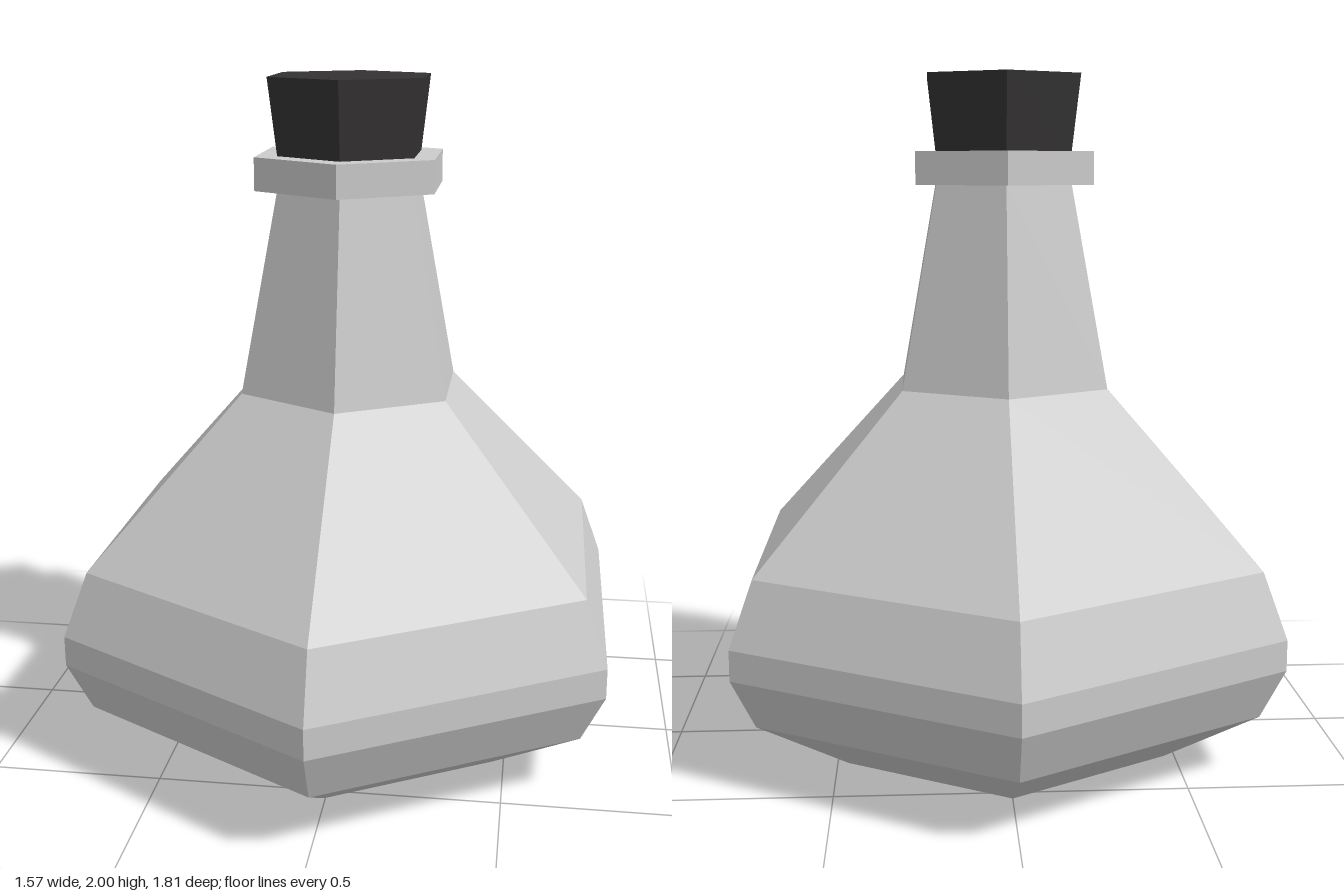
import * as THREE from 'three';

const SIDES = 6;

// Six-sided turned part, with a corner facing the front; profile runs bottom to top as [radius, y]
function turned(name, profile, material) {
  const points = profile.map(([r, y]) => new THREE.Vector2(r, y));
  const mesh = new THREE.Mesh(new THREE.LatheGeometry(points, SIDES), material);
  mesh.name = name;
  return mesh;
}

export function createModel() {
  const glass = new THREE.MeshStandardMaterial({ color: 0xcccccc, flatShading: true });
  const cork = new THREE.MeshStandardMaterial({ color: 0x343233, flatShading: true });

  const group = new THREE.Group();
  group.name = 'stopperedFlask';

  // Flat base, faceted belly, sloping shoulder and tapering neck
  group.add(turned('flaskBody', [
    [0, 0], [0.54, 0], [0.83, 0.175], [0.905, 0.325], [0.905, 0.415],
    [0.83, 0.605], [0.345, 1.095], [0.225, 1.69],
  ], glass));

  // Lip around the mouth
  group.add(turned('collar', [
    [0, 1.685], [0.295, 1.685], [0.295, 1.78], [0, 1.78],
  ], glass));

  // Stopper widening upwards
  group.add(turned('stopper', [
    [0.222, 1.75], [0.225, 1.78], [0.253, 2], [0, 2],
  ], cork));

  return group;
}
